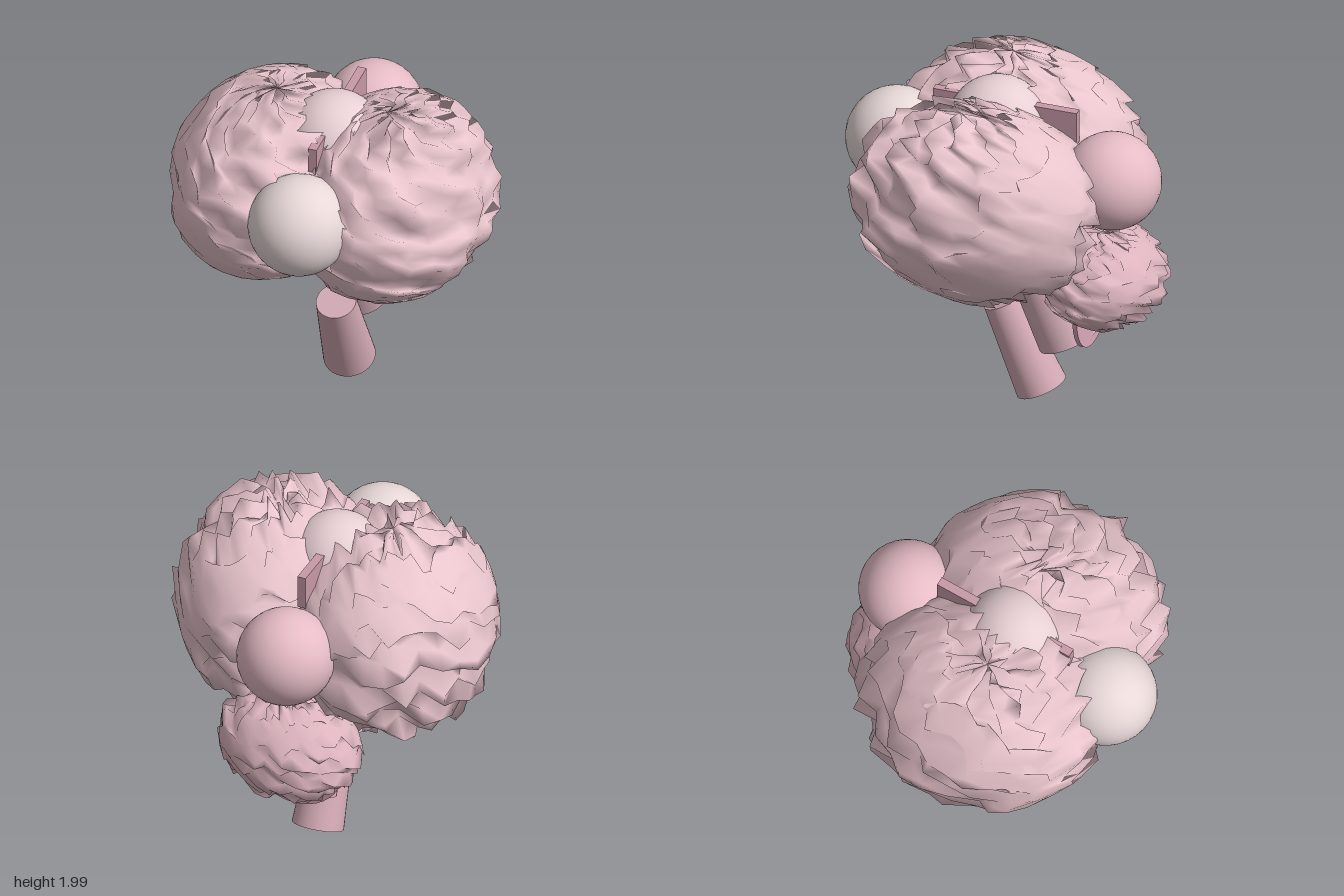
import * as THREE from 'three';

function seeded(seed) {
  let s = seed;
  return () => {
    s = (s * 16807) % 2147483647;
    return s / 2147483647;
  };
}

// Ellipsoid whose vertices are pushed along the (1,1,1) diagonal to form folds
function foldedEllipsoid(rx, ry, rz, amount, seed, cols = 32, rows = 28) {
  const geo = new THREE.SphereGeometry(1, cols, rows);
  geo.scale(rx, ry, rz);
  const rand = seeded(seed);
  const pos = geo.attributes.position;
  const stride = cols + 1;
  for (let j = 0; j <= rows; j++) {
    let first = 0;
    for (let i = 0; i <= cols; i++) {
      let d = (rand() * 2 - 1) * amount;
      if (i === 0) first = d;
      if (i === cols || j === 0 || j === rows) d = first; // closed seam and poles
      const k = j * stride + i;
      pos.setXYZ(k, pos.getX(k) + d, pos.getY(k) + d, pos.getZ(k) + d);
    }
  }
  geo.computeVertexNormals();
  // Match the normals along the seam
  const n = geo.attributes.normal;
  for (let j = 0; j <= rows; j++) {
    const a = j * stride, b = a + cols;
    const v = new THREE.Vector3().fromBufferAttribute(n, a)
      .add(new THREE.Vector3().fromBufferAttribute(n, b)).normalize();
    n.setXYZ(a, v.x, v.y, v.z);
    n.setXYZ(b, v.x, v.y, v.z);
  }
  return geo;
}

export function createModel() {
  const group = new THREE.Group();

  function add(name, geo, color, x, y, z, folded = false) {
    const mat = new THREE.MeshStandardMaterial({ color });
    if (folded) mat.side = THREE.DoubleSide;
    const mesh = new THREE.Mesh(geo, mat);
    mesh.name = name;
    mesh.position.set(x, y, z);
    group.add(mesh);
    return mesh;
  }

  // Two wrinkled hemispheres
  for (const [name, side, seed] of [['leftHemisphere', 1, 4711], ['rightHemisphere', -1, 90210]]) {
    add(name, foldedEllipsoid(0.55, 0.56, 0.68, 0.06, seed), 0xe8c4cc, side * 0.35, 1.38, 0.05, true);
  }

  // Smooth lobes between the hemispheres
  const lobe = new THREE.SphereGeometry(0.285, 32, 24);
  add('frontalLobe', lobe, 0xe8d8d8, 0, 1.49, 0.64);
  add('parietalLobe', lobe, 0xe8d0d4, 0, 1.675, 0.05);
  add('occipitalLobe', new THREE.SphereGeometry(0.275, 32, 24), 0xe6bcc6, 0, 1.45, -0.62);

  // Thin bar along the midline
  add('midlineFissure', new THREE.BoxGeometry(0.05, 0.2, 0.84), 0xc89aa8, 0, 1.75, 0);

  // Cerebellum and the thin disc below it
  add('cerebellum', foldedEllipsoid(0.41, 0.27, 0.33, 0.035, 1337), 0xdcb4be, 0, 0.85, -0.57, true);
  const disc = add('cerebellumDisc', new THREE.CylinderGeometry(0.3, 0.3, 0.025, 40), 0xdcaabb, 0, 0.71, -0.505);
  disc.rotation.x = Math.PI / 2;

  // Brain stem in two leaning, tapered sections
  const lean = 0.42;
  const upper = add('upperStem', new THREE.CylinderGeometry(0.155, 0.175, 0.6, 32), 0xd8b0ba, 0, 0.674, -0.243);
  upper.rotation.x = lean;
  const lower = add('lowerStem', new THREE.CylinderGeometry(0.112, 0.146, 0.553, 32), 0xd4aab5, 0, 0.318, -0.093);
  lower.rotation.x = lean;

  return group;
}
